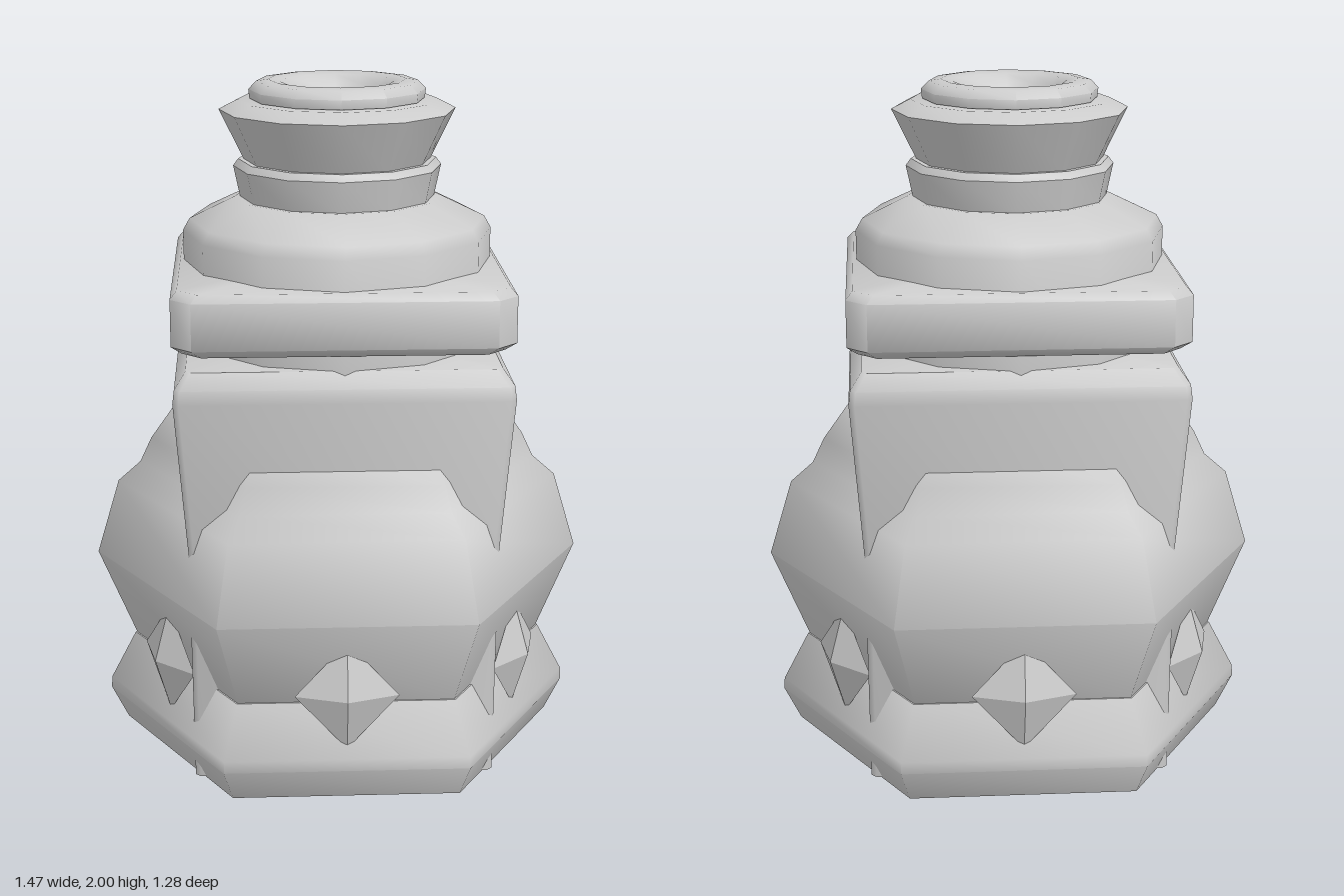
import * as THREE from 'three';
import { toCreasedNormals } from 'three/addons/utils/BufferGeometryUtils.js';

const material = new THREE.MeshStandardMaterial({ color: 0xcccccc });

function addMesh(group, name, geometry) {
  const mesh = new THREE.Mesh(geometry, material);
  mesh.name = name;
  group.add(mesh);
  return mesh;
}

const toPoints = (profile) => profile.map(([r, y]) => new THREE.Vector2(r, y));

// Faceted turned part; profile is [radius, height] from bottom to top, with a vertex on +x
function turned(profile, sides, crease) {
  return toCreasedNormals(new THREE.LatheGeometry(toPoints(profile), sides, Math.PI / 2), crease);
}

// Square part with clipped corners; profile is [half width, height] from bottom to top
function squared(profile, keep) {
  const k = keep;
  const corners = [[-k, 1], [k, 1], [1, k], [1, -k], [k, -1], [-k, -1], [-1, -k], [-1, k]];
  const geometry = new THREE.LatheGeometry(toPoints(profile), 8);
  const position = geometry.attributes.position;
  for (let i = 0; i < position.count; i++) {
    const [half, y] = profile[i % profile.length];
    const [u, w] = corners[Math.floor(i / profile.length) % 8];
    position.setXYZ(i, half * u, y, half * w);
  }
  return toCreasedNormals(geometry, 0.9);
}

export function createModel() {
  const group = new THREE.Group();

  // Hexagonal foot and bulging belly
  addMesh(group, 'base', turned(
    [[0, 0], [0.66, 0], [0.71, 0.1], [0.708, 0.135], [0.63, 0.285], [0, 0.285]], 6, 1.1));
  addMesh(group, 'belly', turned(
    [[0, 0.28], [0.625, 0.285], [0.737, 0.555], [0.668, 0.785], [0.6, 0.845],
      [0.565, 0.92], [0.48, 1.04], [0, 1.1]], 6, 1.1));

  // Diamond studs centred on each hexagon face
  for (let i = 0; i < 6; i++) {
    const angle = (i * Math.PI) / 3;
    const stud = addMesh(group, 'stud', new THREE.OctahedronGeometry(1));
    stud.scale.set(0.15, 0.165, 0.05);
    stud.position.set(0.592 * Math.sin(angle), 0.325, 0.592 * Math.cos(angle));
    stud.rotation.y = angle;
  }

  // Square core, whose corners break through the belly
  addMesh(group, 'squareBody', squared(
    [[0, 0.005], [0.44, 0.005], [0.447, 0.7], [0.482, 1.16], [0.477, 1.2], [0.445, 1.245], [0, 1.25]], 0.965));

  // Square collar
  addMesh(group, 'collar', squared(
    [[0, 1.29], [0.455, 1.29], [0.484, 1.315], [0.484, 1.45], [0.465, 1.472], [0, 1.48]], 0.88));

  // Round shoulder running through the collar
  addMesh(group, 'shoulder', turned(
    [[0, 1.2], [0.453, 1.2], [0.455, 1.56], [0.435, 1.595], [0.3, 1.66], [0, 1.66]], 12, 0.75));

  // Neck ring and flared mouth
  addMesh(group, 'neckRing', turned(
    [[0, 1.65], [0.285, 1.655], [0.305, 1.75], [0.29, 1.77], [0, 1.77]], 12, 0.75));
  addMesh(group, 'flare', turned(
    [[0, 1.765], [0.272, 1.765], [0.345, 1.915], [0.29, 1.943], [0, 1.943]], 12, 0.75));

  // Rounded lip with a hollow centre
  addMesh(group, 'lip', turned(
    [[0.2, 1.935], [0.255, 1.945], [0.258, 1.972], [0.235, 1.995], [0.2, 2],
      [0.165, 1.993], [0.145, 1.97], [0.13, 1.95], [0, 1.945]], 12, 0.9));

  return group;
}
